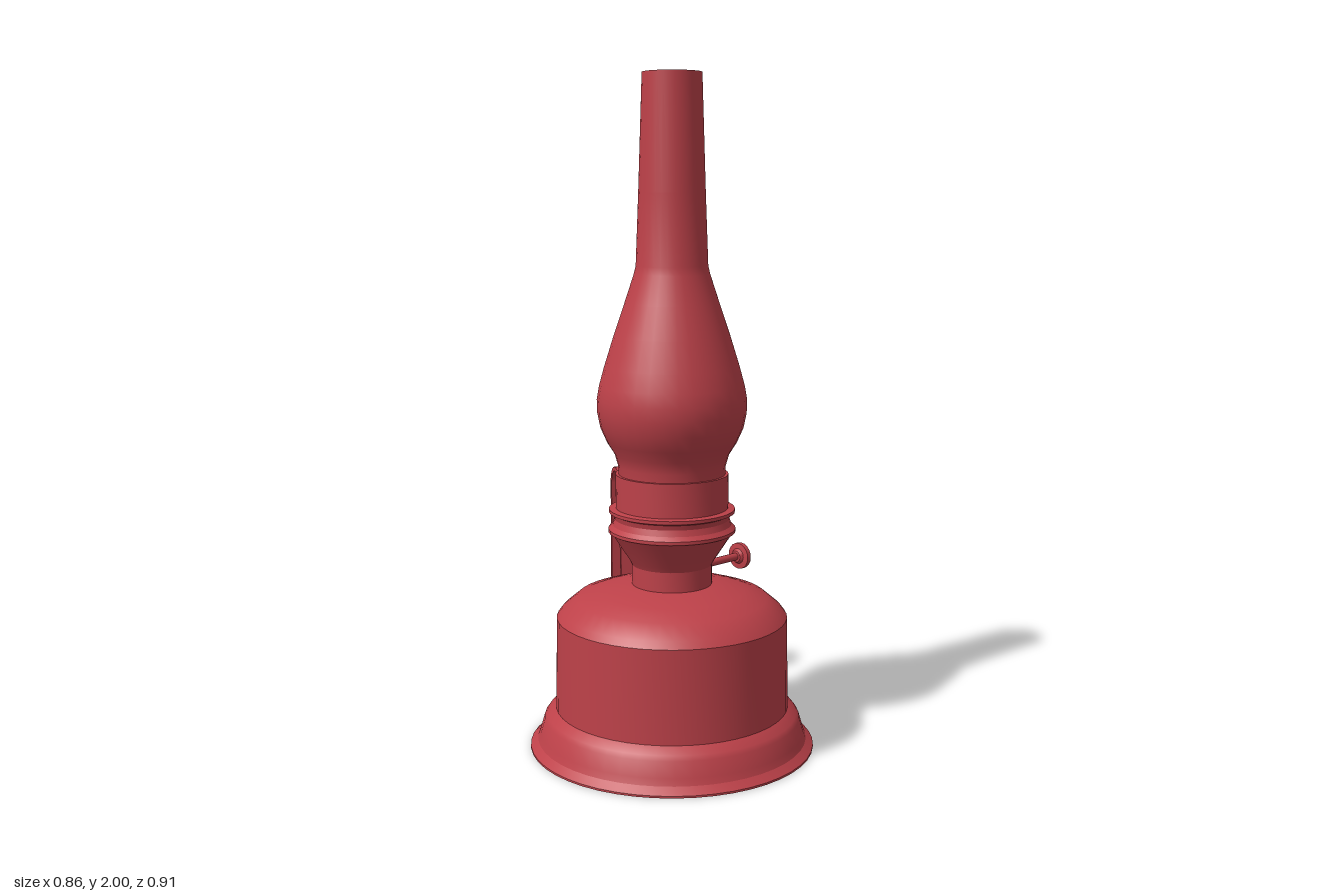
import * as THREE from 'three';
import { toCreasedNormals } from 'three/addons/utils/BufferGeometryUtils.js';

const AXIS_Z = 0.03;
const red = new THREE.MeshStandardMaterial({ color: 0xbd4149 });
red.name = 'red enamel';
const redThin = new THREE.MeshStandardMaterial({ color: 0xbd4149, side: THREE.DoubleSide });
redThin.name = 'red glass';

function add(parent, name, geometry, material = red) {
  const mesh = new THREE.Mesh(geometry, material);
  mesh.name = name;
  parent.add(mesh);
  return mesh;
}

// Turned part from [radius, height] pairs
function turned(profile, segments = 40, crease = 0.45) {
  const pts = profile.map(([r, y]) => new THREE.Vector2(r, y));
  return toCreasedNormals(new THREE.LatheGeometry(pts, segments), crease);
}

// Strip of constant thickness along a path of [distance behind centre, height]
function strip(path, thickness, width) {
  const pts = path.map(([x, y]) => new THREE.Vector2(x, y));
  const side = (s) => pts.map((p, i) => {
    const a = pts[Math.max(i - 1, 0)], b = pts[Math.min(i + 1, pts.length - 1)];
    const t = b.clone().sub(a).normalize();
    return new THREE.Vector2(p.x - t.y * s, p.y + t.x * s);
  });
  const shape = new THREE.Shape([...side(thickness / 2), ...side(-thickness / 2).reverse()]);
  const g = new THREE.ExtrudeGeometry(shape, { depth: width, bevelEnabled: false });
  g.translate(0, 0, -width / 2).rotateY(Math.PI / 2);
  return toCreasedNormals(g, 0.5);
}

export function createModel() {
  const model = new THREE.Group();
  model.name = 'oilLamp';
  const lamp = new THREE.Group();
  lamp.name = 'lampBody';
  lamp.position.z = AXIS_Z;
  model.add(lamp);

  // Oil tank with flared foot
  add(lamp, 'oilTank', turned([
    [0, 0], [0.43, 0], [0.43, 0.006], [0.408, 0.025], [0.4, 0.045], [0.387, 0.09],
    [0.378, 0.103], [0.352, 0.122], [0.347, 0.4], [0.332, 0.42], [0.287, 0.458],
    [0.22, 0.48], [0.145, 0.5], [0, 0.5],
  ], 48));

  // Burner: collar, cone, beaded ring and chimney seat
  add(lamp, 'burner', turned([
    [0.12, 0.495], [0.12, 0.56], [0.128, 0.575], [0.18, 0.655], [0.19, 0.66],
    [0.19, 0.67], [0.178, 0.682], [0.172, 0.7], [0.176, 0.715], [0.188, 0.72],
    [0.188, 0.73], [0.168, 0.733], [0.168, 0.835], [0.158, 0.835], [0.158, 0.76],
    [0.12, 0.78], [0.08, 0.82], [0.04, 0.835], [0, 0.84],
  ]));
  add(lamp, 'wick', new THREE.BoxGeometry(0.16, 0.08, 0.028)).position.y = 0.82;

  // Open glass chimney
  add(lamp, 'chimney', turned([
    [0.158, 0.8], [0.16, 0.86], [0.17, 0.895], [0.192, 0.93], [0.212, 0.975],
    [0.221, 1.02], [0.222, 1.06], [0.215, 1.1], [0.2, 1.155], [0.172, 1.245],
    [0.14, 1.34], [0.112, 1.425], [0.106, 1.45], [0.098, 1.66], [0.087, 2],
  ], 32, 0.6), redThin);

  // Wick adjuster: shaft and thumb wheel pointing sideways to the back
  const knob = new THREE.Group();
  knob.name = 'wickAdjuster';
  knob.position.y = 0.53;
  knob.rotation.y = Math.atan2(0.138, 0.262);
  lamp.add(knob);
  const shaft = new THREE.CylinderGeometry(0.012, 0.012, 0.2, 12).rotateZ(-Math.PI / 2);
  add(knob, 'adjusterShaft', shaft).position.x = 0.2;
  const wheel = turned([
    [0, -0.022], [0.018, -0.018], [0.024, -0.009], [0.041, -0.007], [0.041, 0.007],
    [0.026, 0.008], [0.018, 0.015], [0, 0.017],
  ], 20).rotateZ(-Math.PI / 2);
  add(knob, 'thumbWheel', wheel).position.x = 0.296;

  // Bent strap handle at the back
  const path = [[0.317, 0.31], [0.322, 0.42], [0.341, 0.7]];
  for (let i = 0; i <= 10; i++) {
    const a = Math.PI * (1 - i / 10);
    path.push([0.395 + 0.053 * Math.cos(a), 0.718 + 0.053 * Math.sin(a)]);
  }
  path.push([0.448, 0.27], [0.445, 0.255], [0.371, 0.142], [0.366, 0.128], [0.378, 0.02]);
  add(model, 'handle', strip(path, 0.014, 0.14));

  // Rivets holding the handle
  for (const [y, z] of [[0.36, -0.323], [0.08, -0.373]]) {
    const rivet = turned([[0, -0.014], [0.02, -0.014], [0.02, 0.008], [0.012, 0.013], [0, 0.014]], 14);
    add(model, 'rivet', rivet.rotateX(-Math.PI / 2)).position.set(0, y, z);
  }
  return model;
}
